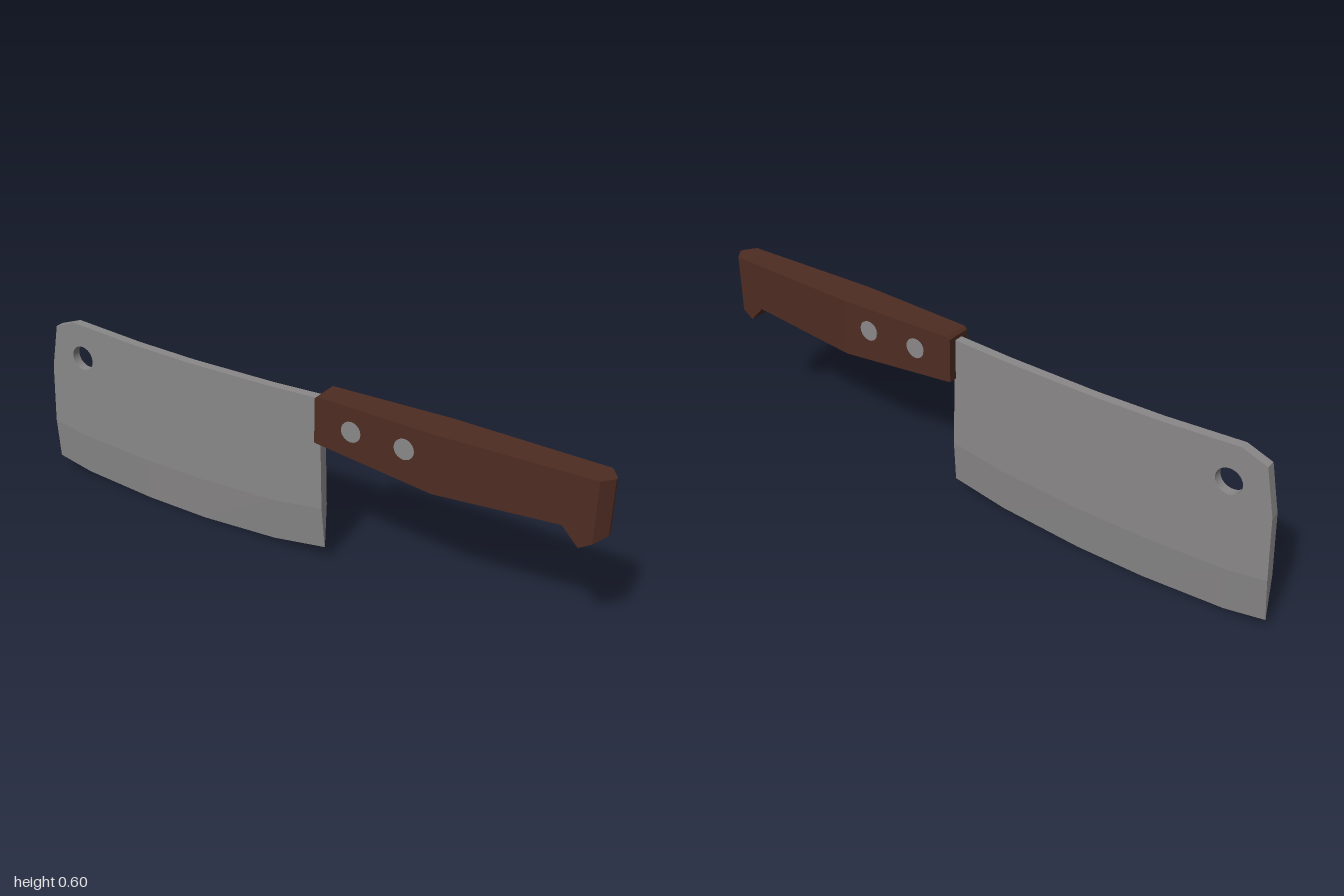
import * as THREE from 'three';

// Box cut into columns; each column gives its top and bottom point and half thickness there.
function sectionedBar(columns) {
  const n = columns.length - 1;
  const geo = new THREE.BoxGeometry(n, 1, 1, n, 1, 1);
  const p = geo.attributes.position;
  for (let i = 0; i < p.count; i++) {
    const c = columns[Math.round(p.getX(i) + n / 2)];
    const [x, y, half] = p.getY(i) > 0 ? c.top : c.bottom;
    p.setXYZ(i, x, y, Math.sign(p.getZ(i)) * half);
  }
  geo.computeVertexNormals();
  return geo;
}

export function createModel() {
  const steel = new THREE.MeshStandardMaterial({ color: 0x8a8888, flatShading: true });
  steel.name = 'steel';
  const wood = new THREE.MeshStandardMaterial({ color: 0x4e2c22, flatShading: true });
  wood.name = 'dark wood';

  const group = new THREE.Group();
  group.name = 'cleaver';
  const add = (name, geo, mat) => {
    const mesh = new THREE.Mesh(geo, mat);
    mesh.name = name;
    group.add(mesh);
    return mesh;
  };

  const T = 0.015; // half thickness of the blade
  const bevelLine = [[-0.994, 0.19], [-0.87, 0.168], [-0.6, 0.155], [-0.37, 0.155], [-0.09, 0.17], [0.096, 0.2]];
  const edgeLine = [[-1, 0.042], [-0.87, 0.017], [-0.6, 0], [-0.37, 0], [-0.09, 0.02], [0.1, 0.053]];

  // Flat upper blade with its hanging hole
  const spine = [[0.086, 0.575], [-0.1, 0.567], [-0.4, 0.563], [-0.62, 0.568], [-0.87, 0.583], [-0.95, 0.553], [-0.982, 0.4]];
  const outline = new THREE.Shape([...bevelLine, ...spine].map(([x, y]) => new THREE.Vector2(x, y)));
  outline.holes.push(new THREE.Path().absarc(-0.845, 0.462, 0.042, 0, Math.PI * 2, true));
  const bladeGeo = new THREE.ExtrudeGeometry(outline, { depth: 2 * T, bevelEnabled: false, curveSegments: 20 });
  bladeGeo.translate(0, 0, -T);
  add('blade', bladeGeo, steel);

  // Ground wedge along the cutting edge
  add('cuttingEdge', sectionedBar(bevelLine.map((b, i) => ({ top: [...b, T], bottom: [...edgeLine[i], 0.001] }))), steel);

  // Handle: x, top, bottom, half width
  const handle = [
    [0.085, 0.587, 0.441, 0.042],
    [0.095, 0.595, 0.44, 0.0434],
    [0.49, 0.595, 0.405, 0.058],
    [0.88, 0.595, 0.432, 0.0458],
    [0.932, 0.595, 0.376, 0.0442],
    [0.97, 0.595, 0.4, 0.043],
    [1, 0.593, 0.418, 0.005],
  ];
  add('handle', sectionedBar(handle.map(([x, t, b, w]) => ({ top: [x, t, w], bottom: [x, b, w] }))), wood);

  // Rivets through the handle, just proud of both faces
  for (const [x, y, half] of [[0.215, 0.517, 0.0478], [0.395, 0.519, 0.0545]]) {
    const rivet = add('rivet', new THREE.CylinderGeometry(0.033, 0.033, 2 * (half + 0.002), 20), steel);
    rivet.rotation.x = Math.PI / 2;
    rivet.position.set(x, y, 0);
  }
  return group;
}
